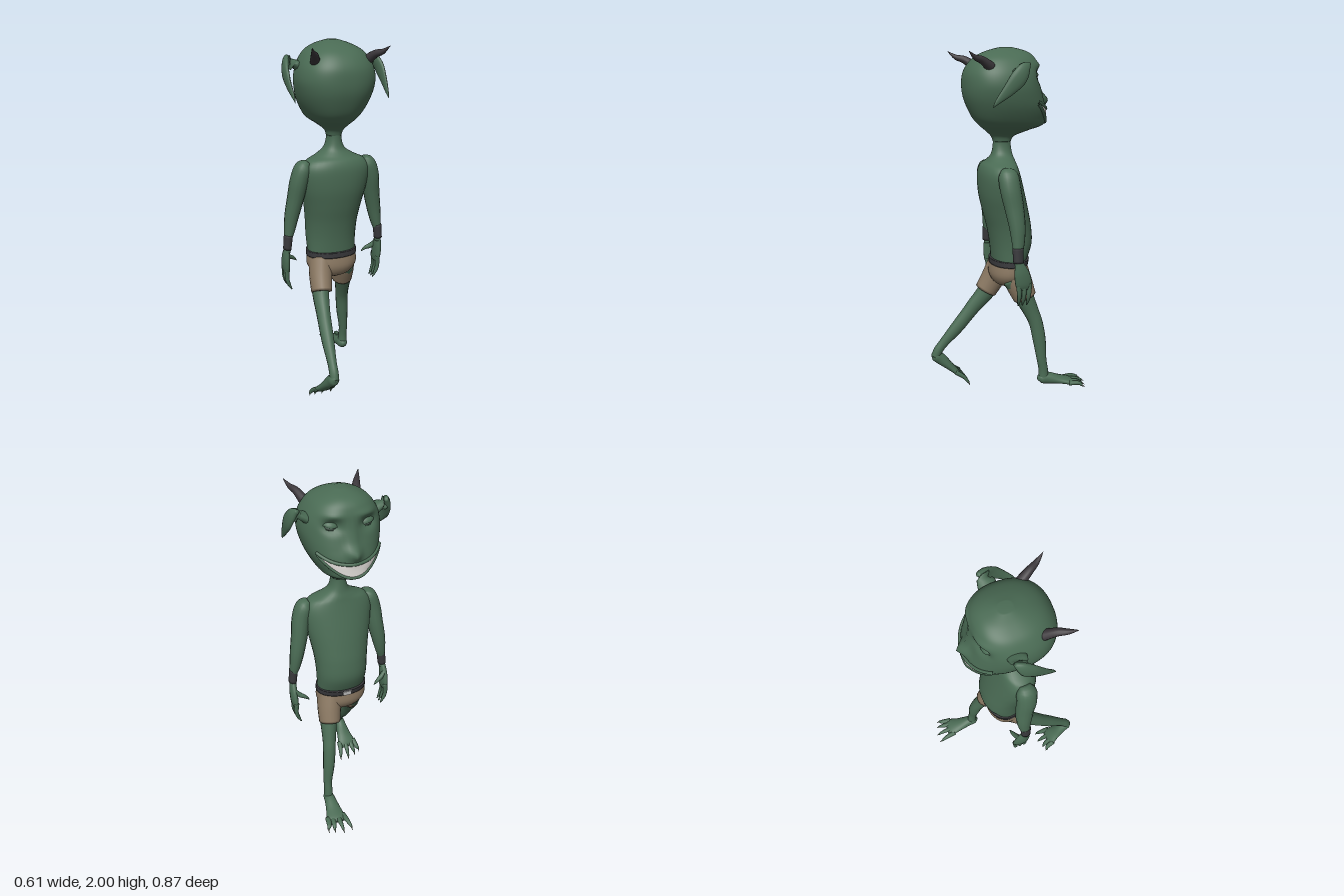
import * as THREE from 'three';

const mat = (name, color, side = THREE.FrontSide) => {
  const m = new THREE.MeshStandardMaterial({ color, side });
  m.name = name;
  return m;
};

// Catmull-Rom interpolation between four numbers
function blend(a, b, c, d, t) {
  const cubic = 3 * b - a - 3 * c + d;
  const square = 2 * a - 5 * b + 4 * c - d;
  return b + 0.5 * t * (c - a + t * (square + t * cubic));
}

// Smooth a list of rows of numbers
function smooth(rows, n = 5) {
  const at = i => rows[Math.min(Math.max(i, 0), rows.length - 1)];
  const out = [];
  for (let i = 0; i < rows.length - 1; i++) {
    const a = at(i - 1), b = at(i), c = at(i + 1), d = at(i + 2);
    for (let k = 0; k < n; k++) out.push(b.map((p, j) => blend(a[j], p, c[j], d[j], k / n)));
  }
  out.push(rows[rows.length - 1]);
  return out;
}

function finish(pos, idx) {
  const g = new THREE.BufferGeometry();
  g.setAttribute('position', new THREE.Float32BufferAttribute(pos, 3));
  g.setIndex(idx);
  g.computeVertexNormals();
  return g;
}

// Skin closed rings of points and cap both ends
function skin(rings) {
  const n = rings[0].length, pos = [], idx = [];
  rings.forEach(r => r.forEach(p => pos.push(p.x, p.y, p.z)));
  const last = (rings.length - 1) * n, s = rings.length * n;
  for (const r of [rings[0], rings[rings.length - 1]]) {
    const c = r.reduce((q, p) => q.add(p), new THREE.Vector3()).divideScalar(n);
    pos.push(c.x, c.y, c.z);
  }
  for (let j = 0; j < n; j++) {
    const k = (j + 1) % n;
    for (let i = 0; i < last; i += n) idx.push(i + j, i + k, i + n + j, i + k, i + n + k, i + n + j);
    idx.push(s, k, j, s + 1, last + j, last + k);
  }
  return finish(pos, idx);
}

// Limb along a path: rows of [x, y, z, sideways radius, depth radius]
function limb(rows, sx = 1, seg = 14) {
  const pts = smooth(rows.map(r => [r[0] * sx, ...r.slice(1)]));
  const P = pts.map(r => new THREE.Vector3(r[0], r[1], r[2]));
  return skin(pts.map((r, i) => {
    const T = P[Math.min(i + 1, P.length - 1)].clone().sub(P[Math.max(i - 1, 0)]).normalize();
    const u = new THREE.Vector3(1, 0, 0).addScaledVector(T, -T.x).normalize();
    const v = T.clone().cross(u);
    return Array.from({ length: seg }, (_, j) => {
      const a = j / seg * Math.PI * 2;
      return P[i].clone().addScaledVector(u, Math.cos(a) * r[3]).addScaledVector(v, Math.sin(a) * r[4]);
    });
  }));
}

// Point on a level section: row [y, half width, front z, back z]
function section([y, w, f, b], a, e) {
  const pw = q => Math.sign(q) * Math.abs(q) ** e;
  return new THREE.Vector3(w * pw(Math.cos(a)), y, (f + b) / 2 - (b - f) / 2 * pw(Math.sin(a)));
}
const ring = (n, point) => Array.from({ length: n }, (_, j) => point(j / n * Math.PI * 2));
const stack = rows => skin(smooth(rows).map(r => ring(32, a => section(r, a, 0.93))));

const headRows = smooth([
  [1.49, .04, -.012, .088], [1.52, .05, -.03, .1], [1.55, .085, -.11, .13], [1.58, .127, -.195, .165],
  [1.62, .157, -.203, .2], [1.68, .188, -.2, .23], [1.74, .207, -.183, .25], [1.8, .215, -.167, .256],
  [1.86, .205, -.163, .25], [1.91, .18, -.153, .225], [1.95, .145, -.135, .185], [1.98, .09, -.095, .125], [2, .03, -.02, .05]], 6);

// Head surface with nose, brows and eye sockets pushed in or out
function headPoint(row, a) {
  const p = section(row, a, 0.85);
  if (p.z < 0) {
    const bump = (x, y, sx, sy) => Math.exp(-(((Math.abs(p.x) - x) / sx) ** 2) - ((p.y - y) / sy) ** 2);
    p.z += -.04 * bump(0, 1.715, .035, .035) - .018 * bump(0, 1.78, .025, .06)
      + .035 * bump(.095, 1.85, .045, .032) - .012 * bump(.095, 1.905, .055, .02);
  }
  return p;
}
function headAt(y, a, out) {
  const i = Math.max(1, headRows.findIndex(r => r[0] >= y));
  const A = headRows[i - 1], B = headRows[i], t = (y - A[0]) / (B[0] - A[0]);
  const p = headPoint(A.map((q, j) => q + (B[j] - q) * t), a);
  p.x *= 1 + out * 5;
  p.z -= out;
  return p;
}

export function createModel() {
  const root = new THREE.Group();
  root.name = 'hornedCreature';
  const green = mat('green skin', 0x4a6b54), tan = mat('tan cloth', 0x8a7862), dark = mat('dark leather', 0x38383b);
  const horn = mat('horn', 0x3a363a), white = mat('teeth white', 0xe6e2de, THREE.DoubleSide);
  const eye = mat('eye', 0x62786a), metal = mat('buckle metal', 0xb9b9b9), claw = mat('claw', 0x8f9a88);
  const add = (name, geo, m, parent = root) => {
    const o = new THREE.Mesh(geo, m);
    o.name = name;
    parent.add(o);
    return o;
  };

  // Torso and neck
  add('torso', stack([[.79, .14, -.085, .095], [.9, .146, -.128, .105], [1, .153, -.125, .122], [1.1, .168, -.105, .147],
    [1.2, .188, -.08, .166], [1.3, .198, -.052, .168], [1.355, .17, -.037, .153], [1.385, .11, -.03, .125],
    [1.42, .06, -.02, .1], [1.47, .041, -.012, .09], [1.53, .04, -.01, .09]]), green);

  // Head
  add('head', skin(headRows.map(r => ring(72, a => headPoint(r, a)))), green);

  // Grinning mouth: a curved strip of teeth between two lips
  const N = 36, upper = [], lower = [], pos = [], idx = [];
  for (let i = 0; i <= N; i++) {
    const t = i / N * 2 - 1, a = Math.PI / 2 + t * 0.97;
    const hi = 1.662 + .05 * t * t, lo = 1.592 + .115 * t * t;
    for (let k = 0; k <= 4; k++) {
      const p = headAt(lo + (hi - lo) * k / 4, a, .005);
      pos.push(p.x, p.y, p.z);
      if (i < N && k < 4) {
        const q = i * 5 + k;
        idx.push(q, q + 1, q + 5, q + 1, q + 6, q + 5);
      }
    }
    upper.push(headAt(hi + .003, a, .003));
    lower.push(headAt(lo - .003, a, .003));
  }
  add('teeth', finish(pos, idx), white);
  for (const [name, pts] of [['upperLip', upper], ['lowerLip', lower]]) {
    add(name, new THREE.TubeGeometry(new THREE.CatmullRomCurve3(pts), 48, .009, 8), green);
  }

  for (const s of [1, -1]) {
    const side = s > 0 ? 'left' : 'right';

    // Half-closed eyes
    const e = new THREE.Group();
    e.name = side + 'Eye';
    e.position.set(s * .095, 1.848, -.098);
    e.rotation.set(0, -s * .35, s * .15);
    e.scale.set(1.15, .75, 1);
    root.add(e);
    add('eyeball', new THREE.SphereGeometry(.036, 20, 14), eye, e);
    add('upperLid', new THREE.SphereGeometry(.041, 20, 8, 0, Math.PI * 2, 0, 1.35), green, e).rotation.x = -.25;
    add('lowerLid', new THREE.SphereGeometry(.04, 20, 6, 0, Math.PI * 2, 2.05, Math.PI - 2.05), green, e);

    // Drooping leaf ears and horns
    add(side + 'EarRoot', limb([[.18, 1.86, 0, .03, .05], [.225, 1.883, 0, .02, .043], [.262, 1.88, .005, .01, .03]], s), green);
    add(side + 'Ear', limb([[.24, 1.915, -.03, .012, .01], [.258, 1.89, 0, .018, .034], [.272, 1.84, .04, .016, .045],
      [.273, 1.78, .095, .011, .032], [.267, 1.725, .15, .007, .014], [.265, 1.695, .175, .001, .001]], s), green);
    add(side + 'Horn', limb([[.145, 1.895, .145, .028, .028], [.168, 1.932, .2, .021, .021],
      [.19, 1.947, .245, .014, .014], [.213, 1.978, .285, .001, .001]], s), horn);

    // Arm, wristband and hand
    add(side + 'Arm', limb([[.165, 1.355, .065, .015, .03], [.19, 1.325, .065, .045, .055], [.213, 1.25, .06, .05, .058],
      [.23, 1.15, .045, .046, .053], [.25, 1.05, .035, .04, .045], [.264, .97, .035, .031, .036],
      [.277, .9, .04, .02, .025], [.28, .84, .035, .019, .024]], s), green);
    add(side + 'Wristband', limb([[.273, .94, .04, .025, .031], [.281, .858, .04, .023, .028]], s, 20), dark);
    add(side + 'Palm', limb([[.281, .86, .037, .017, .022], [.284, .8, .022, .021, .042], [.283, .74, .01, .019, .048],
      [.28, .705, .008, .012, .036]], s), green);
    for (const z of [.038, .008, -.024]) {
      add(side + 'Finger', limb([[.281, .74, z, .015, .016], [.283, .68, z * .9, .012, .013], [.272, .64, z * .85, .01, .01],
        [.254, .605, z * .8, .003, .003]], s, 10), green);
    }
    add(side + 'Thumb', limb([[.283, .815, .005, .012, .018], [.255, .79, -.012, .014, .015], [.23, .778, -.022, .011, .011],
      [.205, .757, -.028, .003, .003]], s, 10), green);
  }

  // Legs in mid stride
  add('frontLeg', limb([[.085, .72, 0, .055, .07], [.1, .6, -.06, .05, .056], [.113, .5, -.105, .04, .044],
    [.122, .43, -.13, .037, .04], [.132, .33, -.147, .034, .038], [.143, .22, -.157, .026, .029],
    [.145, .15, -.168, .025, .028], [.145, .09, -.17, .029, .03]]), green);
  add('rearLeg', limb([[-.085, .72, .02, .055, .07], [-.105, .59, .1, .048, .055], [-.118, .5, .175, .04, .046],
    [-.123, .45, .215, .038, .042], [-.13, .37, .28, .035, .039], [-.138, .28, .36, .026, .029],
    [-.141, .235, .395, .026, .028], [-.143, .195, .413, .026, .026]]), green);

  // Feet with four clawed toes each: [base x, tip x, tip z]
  const toes = [[-.035, -.055, -.295], [0, -.002, -.3], [.032, .047, -.283], [.058, .082, -.268]];
  for (const [name, s, x, y, z, pitch] of [['frontFoot', 1, .143, .09, -.14, -.12], ['rearFoot', -1, -.145, .205, .43, -.68]]) {
    const f = new THREE.Group();
    f.name = name;
    f.position.set(x, y, z);
    f.rotation.x = pitch;
    root.add(f);
    add('foot', limb([[0, 0, .006, .01, .01], [0, .006, -.015, .029, .03], [.002, .008, -.06, .034, .034],
      [.006, 0, -.13, .046, .024], [.012, -.006, -.19, .06, .018], [.014, -.01, -.215, .05, .01]], s, 20), green, f);
    for (const [bx, tx, tz] of toes) {
      const mx = (bx + tx) / 2;
      add('toe', limb([[bx, -.006, -.175, .018, .014], [mx, -.002, -.23, .014, .012], [tx, -.012, tz + .02, .007, .007]], s, 10), green, f);
      add('claw', limb([[tx, -.012, tz + .021, .006, .006], [tx, -.023, tz, .001, .001]], s, 8), claw, f);
    }
  }

  // Shorts, belt and buckle
  add('shortsSeat', stack([[.655, .05, -.03, .05], [.68, .11, -.075, .09], [.73, .146, -.103, .112], [.795, .146, -.1, .105]]), tan);
  add('frontShortsLeg', limb([[.072, .765, -.005, .07, .085], [.085, .68, -.035, .069, .079], [.094, .595, -.068, .062, .068]], 1, 20), tan);
  add('rearShortsLeg', limb([[-.072, .765, .02, .07, .08], [-.088, .68, .06, .066, .073], [-.1, .595, .107, .059, .066]], 1, 20), tan);
  add('belt', stack([[.787, .149, -.106, .109], [.82, .149, -.112, .108]]), dark);
  add('buckle', new THREE.BoxGeometry(.05, .024, .009), metal).position.set(0, .805, -.112);

  return root;
}
